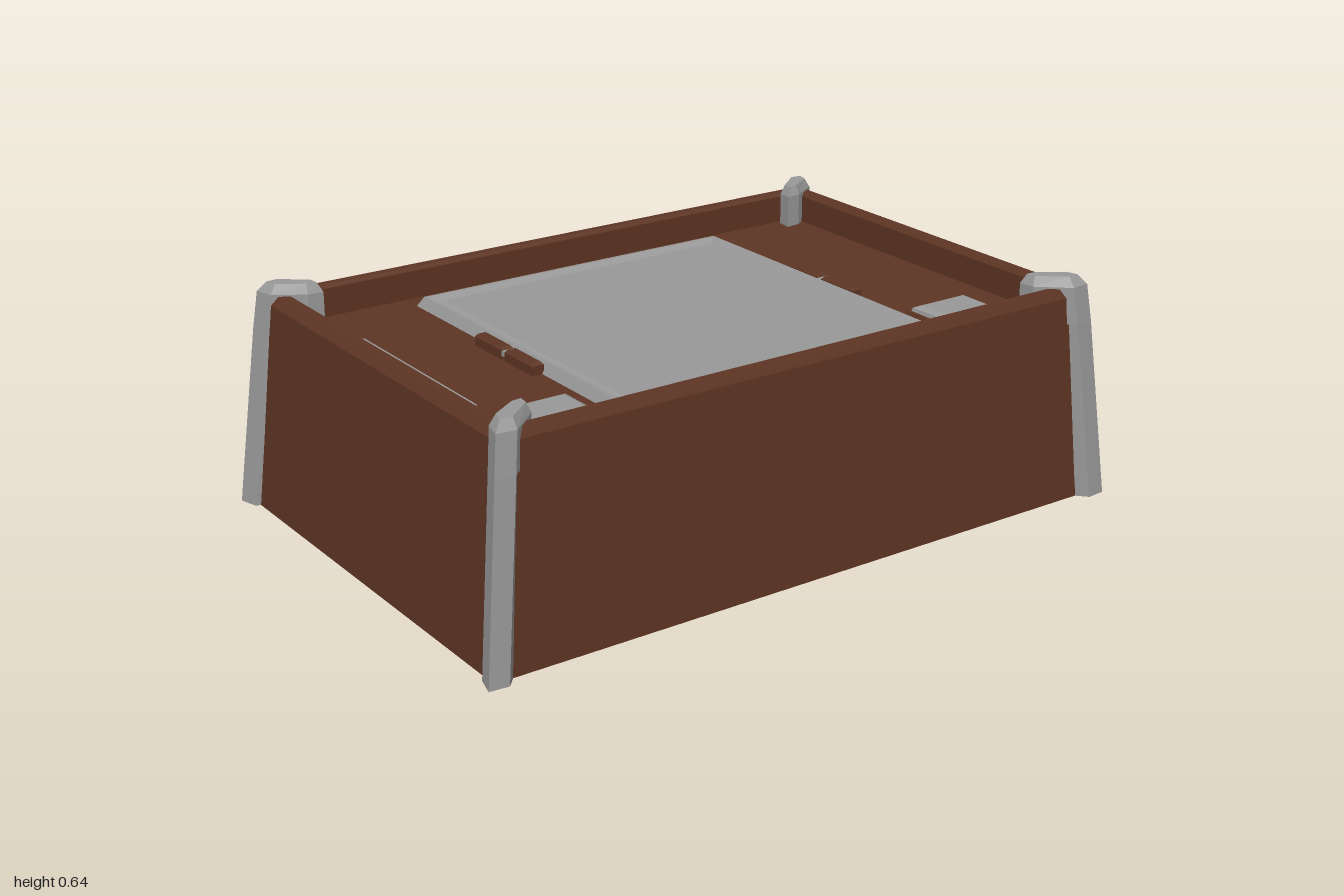
import * as THREE from 'three';

const brown = new THREE.MeshStandardMaterial({ color: 0x5e3523, flatShading: true, side: THREE.DoubleSide });
brown.name = 'brown wood';
const grey = new THREE.MeshStandardMaterial({ color: 0x999999, flatShading: true, side: THREE.DoubleSide });
grey.name = 'grey metal';

const DECK = 0.52; // height of the recessed top panel

// Skin a list of loops (each counter-clockwise from above), with optional end caps
function loft(loops, capBottom = false, capTop = false) {
  const pos = [];
  const tri = (a, b, c) => pos.push(...a, ...b, ...c);
  for (let k = 0; k + 1 < loops.length; k++) {
    const a = loops[k], b = loops[k + 1], n = a.length;
    for (let i = 0; i < n; i++) {
      const j = (i + 1) % n;
      tri(a[i], a[j], b[j]);
      tri(a[i], b[j], b[i]);
    }
  }
  const first = loops[0], last = loops[loops.length - 1];
  for (let i = 1; i + 1 < first.length; i++) {
    if (capBottom) tri(first[0], first[i + 1], first[i]);
    if (capTop) tri(last[0], last[i], last[i + 1]);
  }
  const g = new THREE.BufferGeometry();
  g.setAttribute('position', new THREE.Float32BufferAttribute(pos, 3));
  g.computeVertexNormals();
  return g;
}

// Rectangular loop with half sizes hx, hz at height y
const rect = (hx, hz, y) => [[hx, y, hz], [hx, y, -hz], [-hx, y, -hz], [-hx, y, hz]];

function add(parent, name, geometry, material, x = 0, y = 0, z = 0) {
  const m = new THREE.Mesh(geometry, material);
  m.name = name;
  m.position.set(x, y, z);
  parent.add(m);
  return m;
}

// Six-sided leg section pointed at its outer (o) and inner (i) ends
function legSection(o, i, y, k, sx, sz) {
  const pts = [
    [o[0], o[1]],
    [o[0] - 0.015 * k, o[1] - 0.055 * k],
    [i[0] + 0.045 * k, i[1] + 0.005 * k],
    [i[0], i[1]],
    [i[0] + 0.005 * k, i[1] + 0.045 * k],
    [o[0] - 0.055 * k, o[1] + 0.005 * k],
  ].map(([x, z]) => [x * sx, y, z * sz]);
  return sx * sz < 0 ? pts.reverse() : pts;
}

export function createModel() {
  const root = new THREE.Group();
  root.name = 'cabinet';

  // Tapered walls with a chamfered rim, open underneath
  add(root, 'walls', loft([
    rect(0.97, 0.645, 0),
    rect(0.918, 0.615, 0.585),
    rect(0.9, 0.602, 0.61),
    rect(0.872, 0.58, 0.61),
    rect(0.862, 0.572, 0.6),
    rect(0.862, 0.572, DECK),
  ]), brown);

  // Recessed top panel with an open slot
  const deck = new THREE.Shape();
  deck.moveTo(-0.865, -0.575).lineTo(0.865, -0.575).lineTo(0.865, 0.575).lineTo(-0.865, 0.575).closePath();
  const hole = new THREE.Path();
  hole.moveTo(-0.82, -0.245).lineTo(-0.82, 0.32).lineTo(-0.78, 0.32).lineTo(-0.78, -0.245).closePath();
  deck.holes.push(hole);
  add(root, 'topPanel', new THREE.ShapeGeometry(deck).rotateX(-Math.PI / 2), brown, 0, DECK, 0);

  // Raised surround of the slot
  add(root, 'slotFrame', loft([
    rect(0.034, 0.293, 0),
    rect(0.032, 0.291, 0.012),
    rect(0.023, 0.284, 0.012),
    rect(0.02, 0.282, -0.01),
  ]), grey, -0.8, DECK, -0.037);

  // Inner housing hanging below the panel
  add(root, 'housing', loft([
    rect(0.485, 0.48, 0.05),
    rect(0.485, 0.48, DECK - 0.002),
  ], true), brown);

  // Central lid: bevelled frame and inset plate
  add(root, 'lidFrame', loft([
    rect(0.51, 0.51, DECK),
    rect(0.494, 0.494, DECK + 0.028),
    rect(0.484, 0.484, DECK + 0.028),
    rect(0.468, 0.468, DECK + 0.012),
  ]), grey);
  add(root, 'lidPlate', loft([
    rect(0.468, 0.468, DECK + 0.012),
    rect(0.455, 0.455, DECK + 0.02),
  ], false, true), grey);

  for (const s of [-1, 1]) {
    // Bevelled front buttons on brown bases
    add(root, 'buttonBase', loft([
      rect(0.108, 0.108, 0),
      rect(0.104, 0.104, 0.01),
    ], false, true), brown, s * 0.655, DECK, 0.427);
    add(root, 'button', loft([
      rect(0.095, 0.095, 0.01),
      rect(0.092, 0.092, 0.02),
      rect(0.075, 0.075, 0.028),
    ], false, true), grey, s * 0.655, DECK, 0.427);

    // Paired hinge blocks with a small pin between them
    for (const t of [-1, 1]) {
      add(root, 'hingeBlock', loft([
        rect(0.018, 0.067, 0),
        rect(0.018, 0.067, 0.025),
        rect(0.011, 0.06, 0.033),
      ], false, true), brown, s * 0.522, DECK, t * 0.075);
    }
    add(root, 'hingePin', new THREE.BoxGeometry(0.05, 0.014, 0.012), grey, s * 0.515, DECK + 0.018, 0);

    // Leaning corner legs that hook over the rim
    for (const t of [-1, 1]) {
      const sec = (o, i, y, k = 1) => legSection(o, i, y, k, s, t);
      add(root, 'cornerLeg', loft([
        sec([1, 0.67], [0.915, 0.602], 0),
        sec([0.945, 0.633], [0.86, 0.56], DECK - 0.01),
        sec([0.945, 0.633], [0.79, 0.51], DECK - 0.01),
        sec([0.932, 0.622], [0.79, 0.51], 0.615),
        sec([0.91, 0.605], [0.803, 0.522], 0.642, 0.6),
      ], true, true), grey);
    }
  }
  return root;
}
